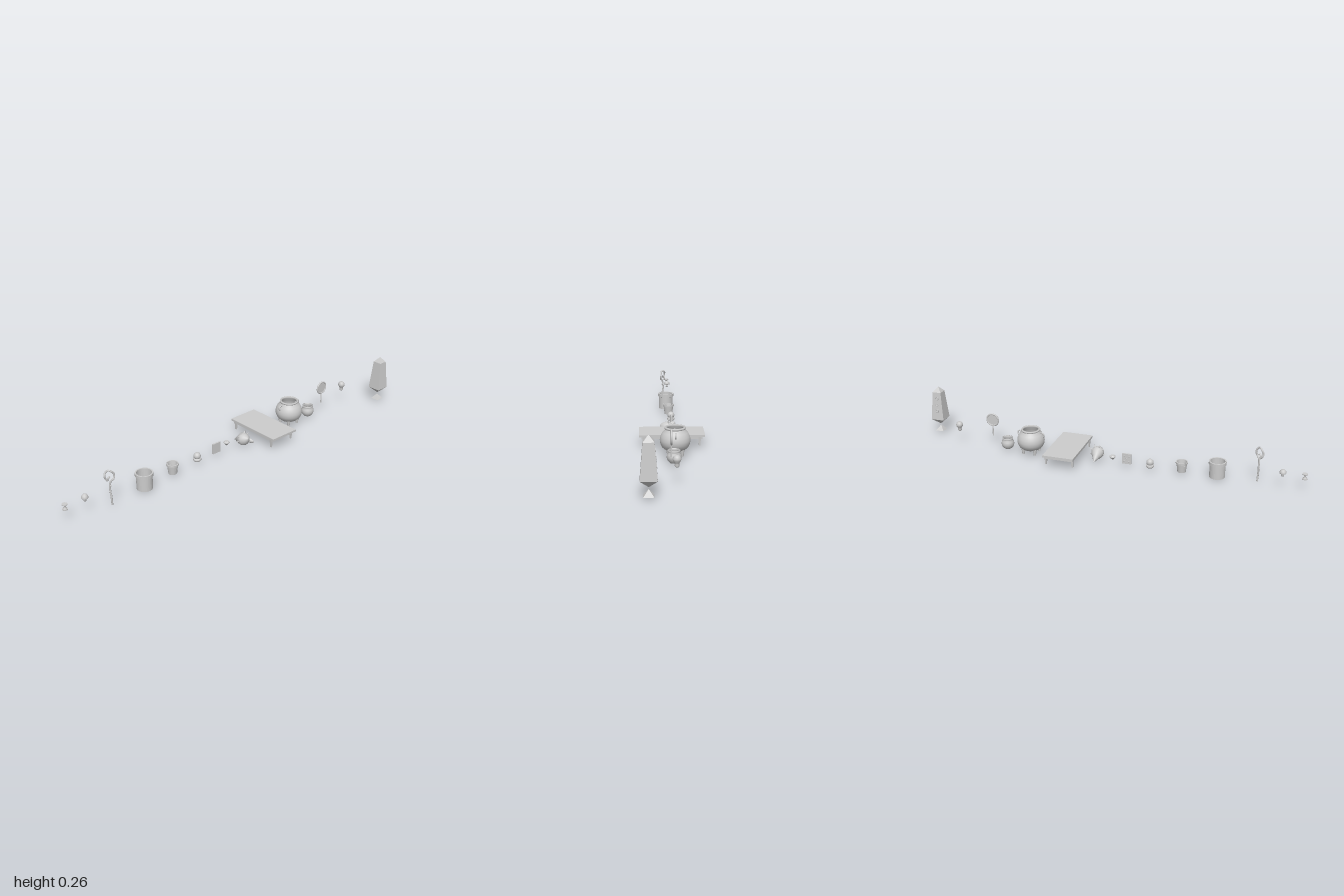
import * as THREE from 'three';

const smooth = new THREE.MeshStandardMaterial({ color: 0xcccccc, side: THREE.DoubleSide });
const flat = new THREE.MeshStandardMaterial({ color: 0xcccccc, side: THREE.DoubleSide, flatShading: true });

function add(parent, name, geo, x = 0, y = 0, z = 0, mat = smooth) {
  const m = new THREE.Mesh(geo, mat);
  m.name = name;
  m.position.set(x, y, z);
  parent.add(m);
  return m;
}
const lathe = (pts, seg = 28, start = 0, len = Math.PI * 2) =>
  new THREE.LatheGeometry(pts.map(p => new THREE.Vector2(p[0], p[1])), seg, start, len);
const cyl = (rt, rb, h, n = 20) => new THREE.CylinderGeometry(rt, rb, h, n);
// Square frustum given by its half widths
const frustum = (top, bottom, h) => cyl(top * Math.SQRT2, bottom * Math.SQRT2, h, 4).rotateY(Math.PI / 4);

export function createModel() {
  const root = new THREE.Group();
  root.name = 'magicProps';
  const item = (name, x, y, z) => {
    const g = new THREE.Group();
    g.name = name;
    g.position.set(x, y, z);
    root.add(g);
    return g;
  };

  // Hourglass
  const hg = item('hourglass', -0.987, 0.058, -0.01);
  for (const y of [0.002, 0.026]) add(hg, 'endPlate', cyl(0.013, 0.013, 0.004), 0, y, 0, flat);
  add(hg, 'glass', lathe([[0.009, 0.003], [0.009, 0.007], [0.002, 0.014], [0.009, 0.021], [0.009, 0.025]], 16));

  // Mushroom
  const mu = item('mushroom', -0.885, 0.058, -0.01);
  add(mu, 'stem', lathe([[0, 0], [0.007, 0.001], [0.005, 0.008], [0.005, 0.019]], 14));
  add(mu, 'cap', lathe([[0.004, 0.018], [0.015, 0.015], [0.017, 0.019], [0.014, 0.028], [0.008, 0.034], [0, 0.036]], 18));

  // Gnarled staff with an open crook
  const st = item('staff', -0.768, 0, 0.017);
  st.rotation.y = -0.62;
  const path = [[0.004, 0, 0], [0.003, 0.04, 0.002], [-0.001, 0.08, -0.002], [0.001, 0.11, 0]];
  for (let i = 0; i <= 9; i++) {
    const a = -1.3 + i * 0.63;
    path.push([0.021 * Math.cos(a), 0.15 + 0.027 * Math.sin(a), 0.003 * Math.sin(i * 2)]);
  }
  path.push([-0.008, 0.137, 0], [0.003, 0.146, 0]);
  const curve = new THREE.CatmullRomCurve3(path.map(p => new THREE.Vector3(...p)));
  add(st, 'shaft', new THREE.TubeGeometry(curve, 90, 0.0045, 8));
  for (const [y, s] of [[0.035, 1], [0.07, -1], [0.1, 1]])
    add(st, 'knot', new THREE.SphereGeometry(0.0045, 8, 6), s * 0.003, y, 0.001);

  // Large open tub
  const tub = item('tub', -0.573, 0.003, 0.005);
  add(tub, 'body', lathe([[0, 0], [0.038, 0], [0.0385, 0.066], [0.043, 0.068], [0.043, 0.083],
    [0.036, 0.083], [0.035, 0.008], [0, 0.008]], 32), 0, 0, 0, flat);

  // Small bucket with a notched rim
  const bk = item('bucket', -0.4, 0.01, -0.005);
  add(bk, 'lowerBody', lathe([[0, 0], [0.021, 0], [0.025, 0.034], [0.022, 0.034], [0.019, 0.005], [0, 0.005]], 24), 0, 0, 0, flat);
  const gap = 0.5;
  add(bk, 'notchedRim', lathe([[0.022, 0.032], [0.025, 0.034], [0.026, 0.043], [0.03, 0.044], [0.03, 0.053],
    [0.025, 0.053], [0.022, 0.032]], 24, Math.PI * 1.25 + gap / 2, Math.PI * 2 - gap), 0, 0, 0, flat);

  // Crystal ball on a stand
  const cb = item('crystalBall', -0.242, 0.014, -0.013);
  add(cb, 'stand', lathe([[0, 0], [0.017, 0], [0.02, 0.004], [0.02, 0.011], [0.016, 0.015], [0, 0.015]], 20), 0, 0, 0, flat);
  add(cb, 'ball', new THREE.SphereGeometry(0.018, 24, 16), 0, 0.026, 0);

  // Thin tablet with studs on the back
  const tb = item('tablet', -0.122, 0.041, -0.01);
  add(tb, 'slab', new THREE.BoxGeometry(0.047, 0.054, 0.008));
  for (const [x, y] of [[-0.012, 0.014], [0.012, 0.014], [0, 0], [-0.012, -0.014], [0.012, -0.014]])
    add(tb, 'stud', new THREE.SphereGeometry(0.004, 10, 6).scale(1, 1, 0.4), x, y, -0.004);

  // Cut gem, point down
  const gem = item('gem', -0.05, 0.026, -0.014);
  add(gem, 'facets', lathe([[0, 0], [0.016, 0.017], [0.016, 0.019], [0.01, 0.026], [0, 0.026]], 8), 0, 0, 0, flat);

  // Spiked spiral shell, tip towards the back
  const sh = item('shell', 0.037, 0.042, 0.012);
  const body = lathe([[0, -0.07], [0.005, -0.058], [0.01, -0.046], [0.013, -0.044], [0.018, -0.028], [0.023, -0.024],
    [0.032, -0.002], [0.031, 0.012], [0.022, 0.027], [0.01, 0.038], [0, 0.042]], 22);
  body.rotateX(Math.PI / 2);
  add(sh, 'whorl', body).rotation.x = -0.38;
  for (let i = 0; i < 6; i++) {
    const a = -0.35 + i * 0.75;
    const s = add(sh, 'spike', new THREE.ConeGeometry(0.007, 0.02, 8),
      Math.cos(a) * 0.033, Math.sin(a) * 0.033 + 0.004, -0.002);
    s.rotation.z = a - Math.PI / 2;
  }
  const lip = add(sh, 'flaredLip', new THREE.SphereGeometry(0.026, 18, 10, 0, Math.PI * 2, 0, 1.5).scale(0.55, 0.5, 1),
    0.026, -0.006, 0.022);
  lip.rotation.set(0.2, 0.35, 1.9);

  // Low table
  const ta = item('table', 0.19, 0, -0.001);
  add(ta, 'top', new THREE.BoxGeometry(0.16, 0.01, 0.31), 0, 0.063, 0);
  for (const s of [-1, 1]) {
    add(ta, 'sideApron', new THREE.BoxGeometry(0.008, 0.012, 0.285), s * 0.07, 0.053, 0);
    add(ta, 'endApron', new THREE.BoxGeometry(0.14, 0.012, 0.008), 0, 0.053, s * 0.139);
    for (const t of [-1, 1])
      add(ta, 'leg', frustum(0.0065, 0.0035, 0.046), s * 0.069, 0.036, t * 0.13, flat);
  }

  // Cauldron
  const ca = item('cauldron', 0.386, 0, -0.011);
  const prof = [[0, 0.027], [0.025, 0.027], [0.045, 0.032], [0.06, 0.045], [0.068, 0.062], [0.07, 0.078], [0.067, 0.095],
    [0.058, 0.113], [0.044, 0.127], [0.048, 0.129], [0.049, 0.134], [0.047, 0.138], [0.04, 0.138], [0.038, 0.13],
    [0.05, 0.113], [0.062, 0.08], [0.05, 0.045], [0.025, 0.034], [0, 0.033]];
  add(ca, 'pot', lathe(prof, 36));
  for (let i = 0; i < 4; i++) {
    const a = Math.PI / 4 + i * Math.PI / 2;
    add(ca, 'foot', cyl(0.01, 0.006, 0.032, 12), Math.cos(a) * 0.044, 0.023, Math.sin(a) * 0.044);
  }
  for (const s of [-1, 1])
    add(ca, 'handle', new THREE.TorusGeometry(0.012, 0.0035, 8, 20), s * 0.059, 0.109, 0);

  // Small pot
  const sp = item('smallPot', 0.52, 0.01, -0.001);
  add(sp, 'pot', lathe([[0, 0], [0.019, 0], [0.029, 0.011], [0.033, 0.025], [0.031, 0.038], [0.025, 0.047], [0.028, 0.05],
    [0.028, 0.058], [0.023, 0.059], [0.021, 0.048], [0.028, 0.034], [0.027, 0.016], [0.017, 0.005], [0, 0.005]], 28));

  // Hand mirror
  const hm = item('handMirror', 0.607, 0.149, 0.014);
  add(hm, 'frame', new THREE.TorusGeometry(0.031, 0.0045, 10, 36));
  add(hm, 'glass', cyl(0.031, 0.031, 0.004, 32).rotateX(Math.PI / 2));
  add(hm, 'handle', cyl(0.003, 0.0035, 0.056, 12), 0, -0.06, 0);

  // Bulb-shaped flask
  const fl = item('flask', 0.79, 0.073, -0.003);
  add(fl, 'bulb', lathe([[0, 0], [0.008, 0], [0.01, 0.004], [0.009, 0.012], [0.011, 0.018], [0.017, 0.027],
    [0.018, 0.035], [0.014, 0.044], [0.008, 0.049], [0, 0.05]], 20));

  // Floating obelisk over a small pyramid
  const ob = item('obelisk', 0.963, 0, 0.114);
  add(ob, 'lowerPoint', frustum(0.035, 0.0001, 0.033), 0, 0.0615, 0, flat);
  add(ob, 'shaft', frustum(0.023, 0.035, 0.152), 0, 0.154, 0, flat);
  add(ob, 'upperPoint', frustum(0.0001, 0.023, 0.027), 0, 0.2435, 0, flat);
  add(ob, 'basePyramid', frustum(0.0001, 0.022, 0.028), 0, 0.023, 0, flat);
  // Carved rings on the back face
  for (const y of [0.13, 0.163, 0.196]) {
    const r = add(ob, 'carvedRing', new THREE.TorusGeometry(0.008, 0.0022, 6, 16), 0, y, -(0.035 - (y - 0.078) * 0.079));
    r.rotation.x = 0.08;
  }
  return root;
}
